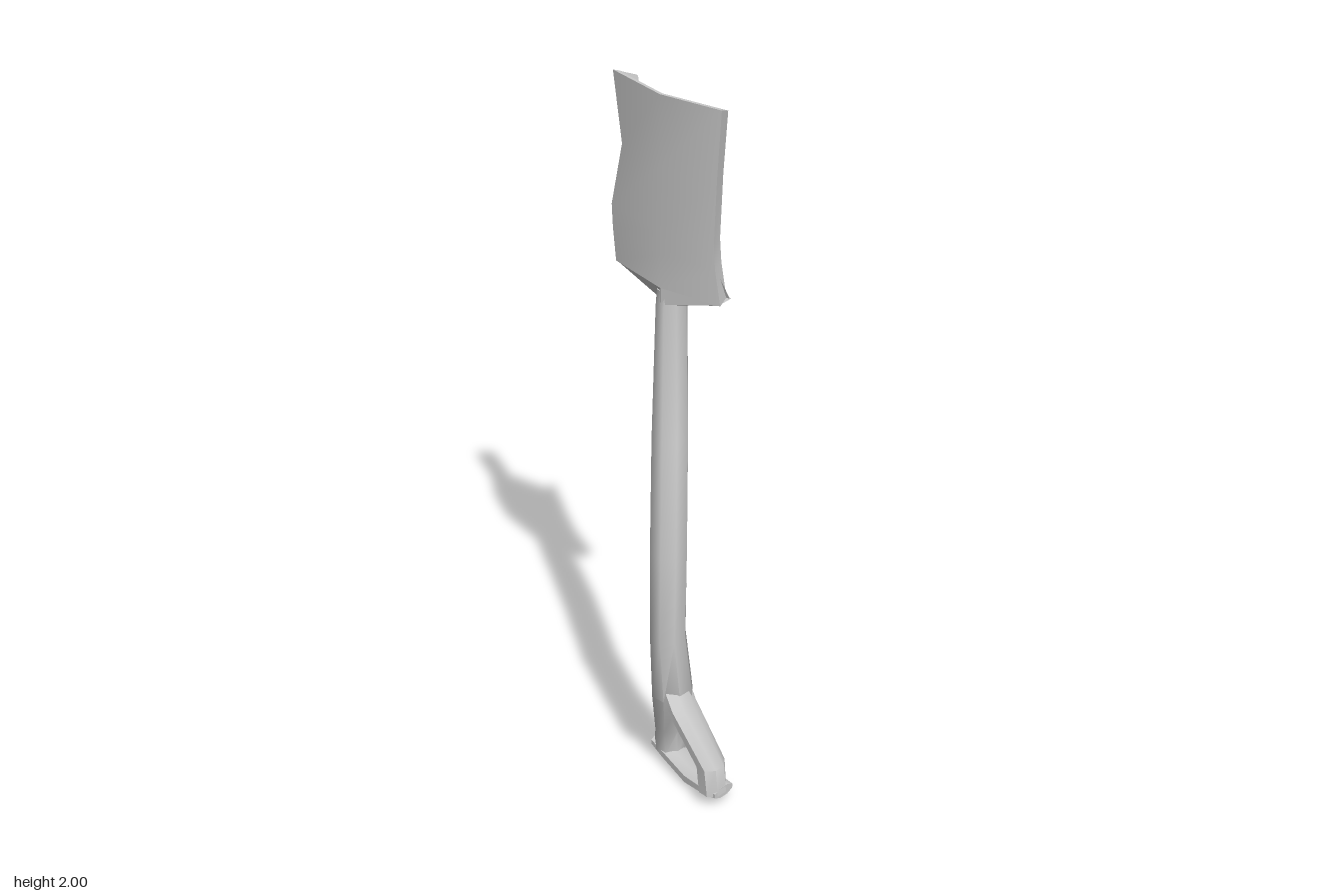
import * as THREE from 'three';
import { toCreasedNormals } from 'three/addons/utils/BufferGeometryUtils.js';

// Skins a list of equal-length rings into a capped solid, always facing outwards.
function loft(rings, crease) {
  const n = rings[0].length, m = rings.length;
  const pts = rings.flat();
  const tris = [];
  for (let i = 0; i < m - 1; i++) {
    for (let j = 0; j < n; j++) {
      const a = i * n + j, b = i * n + (j + 1) % n;
      tris.push([a, b, b + n], [a, b + n, a + n]);
    }
  }
  // flat end caps, triangulated so that concave ends stay open
  [[0, -1], [m - 1, 1]].forEach(([r, dir]) => {
    const ring = rings[r];
    const size = new THREE.Box3().setFromPoints(ring).getSize(new THREE.Vector3());
    const flatY = size.y <= size.z;
    const flat = ring.map((p) => new THREE.Vector2(p.x, flatY ? p.z : p.y));
    const ringCW = THREE.ShapeUtils.area(flat) < 0;
    const faces = THREE.ShapeUtils.triangulateShape(ringCW ? flat.slice().reverse() : flat, []);
    faces.forEach((f) => {
      const [a, b, c] = f.map((k) => r * n + (ringCW ? n - 1 - k : k));
      tris.push((dir > 0) !== ringCW ? [a, b, c] : [a, c, b]);
    });
  });
  let volume = 0;
  tris.forEach(([a, b, c]) => {
    volume += pts[a].dot(new THREE.Vector3().crossVectors(pts[b], pts[c]));
  });
  const geo = new THREE.BufferGeometry().setFromPoints(pts);
  geo.setIndex(tris.flatMap(([a, b, c]) => (volume < 0 ? [a, c, b] : [a, b, c])));
  return toCreasedNormals(geo, crease);
}

// Eight-sided ring around a centre; u and v are the two half-axes.
function ring([x, y, z], u, v) {
  return Array.from({ length: 8 }, (_, i) => {
    const t = (i + 0.5) * Math.PI / 4, c = Math.cos(t) * 1.06, s = Math.sin(t) * 1.06;
    return new THREE.Vector3(x + c * u[0] + s * v[0], y + c * u[1] + s * v[1], z + c * u[2] + s * v[2]);
  });
}

// Level ring: height, centre x and z, half widths in x and z.
const level = ([y, x, z, rx, rz]) => ring([x, y, z], [rx, 0, 0], [0, 0, rz]);
// Upright ring for the crossbar: z, centre x and y, half widths in x and y.
const upright = ([z, x, y, rx, ry]) => ring([x, y, z], [rx, 0, 0], [0, ry, 0]);

// One slice of the scoop: back, folded side flanges and inner floor.
// zp and zn are the two side edges, mid and edge the floor's x in the middle and at the sides.
function bladeSlice([y, zp, zn, mid, edge, drop = 0]) {
  const v = (x, z, dy = 0) => new THREE.Vector3(x, y - dy, z);
  return [
    v(0.045, zp - 0.022, drop), v(0, zp), v(-0.03, 0), v(0, zn), v(0.052, zn + 0.028, drop),
    v(0.048, zn + 0.036, drop), v(edge, zn + 0.014), v(mid, 0), v(edge, zp - 0.012), v(0.042, zp - 0.03, drop),
  ];
}

export function createModel() {
  const model = new THREE.Group();
  const material = new THREE.MeshStandardMaterial({ color: 0xcccccc });
  const add = (name, geometry) => {
    const mesh = new THREE.Mesh(geometry, material);
    mesh.name = name;
    model.add(mesh);
  };

  // Scoop blade, its floor rising to a slanted end wall at the shoulder
  add('blade', loft([
    [2, 0.168, -0.185, -0.022, 0.006, 0.02],
    [1.82, 0.155, -0.157, -0.008, 0.006],
    [1.65, 0.147, -0.195, 0.012, 0.008],
    [1.59, 0.152, -0.192, 0.02, 0.012],
    [1.5, 0.17, -0.182, 0.052, 0.046],
  ].map(bladeSlice), 0.5));

  // Shoulder narrowing from the blade to the neck
  const neck = (y, zp, zn, x0, x1) => [
    [x1, zp], [0, zp + 0.004], [x0, 0], [0, zn - 0.004], [x1, zn],
  ].map(([x, z]) => new THREE.Vector3(x, y, z));
  add('shoulder', loft([neck(1.5, 0.16, -0.17, -0.03, 0.05), neck(1.455, 0.032, -0.036, -0.03, 0.052)], 0.5));

  // Crooked shaft, running on into the thick side of the grip
  add('shaft', loft([
    [1.49, 0.011, -0.002, 0.038, 0.033],
    [1.45, 0.011, -0.002, 0.042, 0.034],
    [1.08, -0.002, 0.005, 0.048, 0.045],
    [0.78, -0.05, 0.047, 0.049, 0.047],
    [0.5, -0.034, 0.029, 0.049, 0.044],
    [0.31, -0.018, 0.03, 0.056, 0.052],
    [0.13, 0.05, -0.04, 0.046, 0.042],
    [0.045, 0.05, -0.045, 0.036, 0.044],
  ].map(level), 0.9));

  // Thin side of the grip
  add('gripArm', loft([
    [0.34, -0.025, 0.04, 0.045, 0.036],
    [0.29, -0.025, 0.069, 0.045, 0.028],
    [0.13, -0.003, 0.158, 0.04, 0.035],
    [0.045, 0.0, 0.163, 0.038, 0.036],
  ].map(level), 0.7));

  // Crossbar of the grip, sagging in the middle
  add('gripBar', loft([
    [0.197, 0.008, 0.05, 0.034, 0.016],
    [0.16, 0.012, 0.043, 0.038, 0.022],
    [0.065, 0.032, 0.026, 0.04, 0.026],
    [-0.04, 0.05, 0.044, 0.038, 0.024],
    [-0.088, 0.052, 0.056, 0.032, 0.016],
  ].map(upright), 0.7));

  return model;
}
